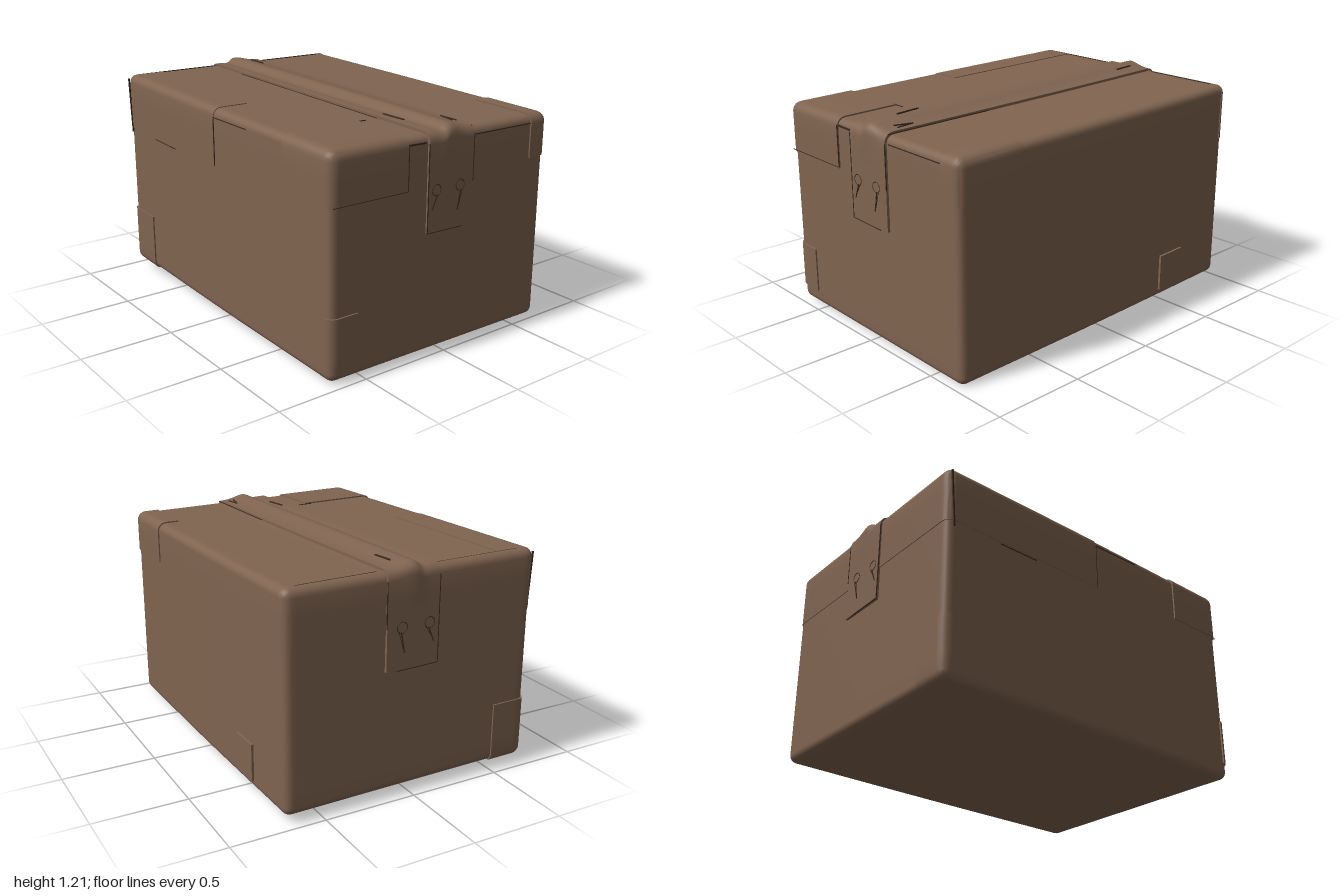
import * as THREE from 'three';
import { mergeVertices, toCreasedNormals } from 'three/addons/utils/BufferGeometryUtils.js';

const HALF = [0.967, 0.56, 0.698];
const SEGS = [16, 18, 76];
const ROUND = 0.042;
const INF = 9;

// Uneven settling of the carton: sheared top and bottom, bulging flap seam, soft walls
function warp(p) {
  const { x, y, z } = p;
  const top = THREE.MathUtils.smoothstep(y, 0.98, 1.1);
  const d = z + 0.015;
  const ridge = 0.024 * Math.exp(-((d / (d > 0 ? 0.035 : 0.08)) ** 2));
  const dip = 0.006 * Math.exp(-(((z - 0.04) / 0.025) ** 2));
  p.y += 0.03 - 0.0225 * x + 0.01 * z + top * (ridge - dip);
  p.x += 0.007 * Math.sign(x) * top * Math.exp(-((z / 0.06) ** 2));
  p.z += 0.004 * Math.cos(2.4 * x) * Math.sign(z) - 0.004;
  return p;
}

// Grid coordinate with three segments packed into each rounded edge
function spread(t, n, h) {
  const i = Math.round((t + 0.5) * n);
  if (i <= 3) return -h + ROUND * i / 3;
  if (i >= n - 3) return h - ROUND * (n - i) / 3;
  return (h - ROUND) * (2 * (i - 3) / (n - 6) - 1);
}

// Rounded carton grown outward by `grow`, limited to the box min..max, then warped
function shell(grow, min = [-INF, -INF, -INF], max = [INF, INF, INF]) {
  let geo = new THREE.BoxGeometry(1, 1, 1, ...SEGS);
  const pos = geo.attributes.position;
  const p = new THREE.Vector3(), inner = new THREE.Vector3();
  const lo = new THREE.Vector3(...min), hi = new THREE.Vector3(...max);
  const core = new THREE.Vector3(...HALF).subScalar(ROUND);
  const coreLow = core.clone().negate();
  for (let i = 0; i < pos.count; i++) {
    p.fromBufferAttribute(pos, i);
    p.set(spread(p.x, SEGS[0], HALF[0]), spread(p.y, SEGS[1], HALF[1]), spread(p.z, SEGS[2], HALF[2]));
    inner.copy(p).clamp(coreLow, core);
    p.sub(inner).setLength(ROUND + grow).add(inner);
    p.y += HALF[1];
    warp(p.clamp(lo, hi));
    pos.setXYZ(i, p.x, p.y, p.z);
  }
  geo.deleteAttribute('uv');
  geo.deleteAttribute('normal');
  geo = mergeVertices(geo, 1e-5);
  // drop triangles collapsed by the limits
  const id = geo.index.array, kept = [];
  for (let i = 0; i < id.length; i += 3) {
    const [a, b, c] = [id[i], id[i + 1], id[i + 2]];
    if (a !== b && b !== c && c !== a) kept.push(a, b, c);
  }
  geo.setIndex(kept);
  if (grow === 0) {
    geo.computeVertexNormals();
    return geo;
  }
  return toCreasedNormals(geo, 0.7);
}

export function createModel() {
  const group = new THREE.Group();
  group.name = 'cardboardBox';
  const cardboard = new THREE.MeshStandardMaterial({ color: 0x806450 });
  cardboard.name = 'cardboard brown';
  const dark = new THREE.MeshStandardMaterial({ color: 0x3a2c22 });
  dark.name = 'crease dark brown';

  function add(name, geo, mat = cardboard) {
    const mesh = new THREE.Mesh(geo, mat);
    mesh.name = name;
    group.add(mesh);
    return mesh;
  }

  // Carton and the long tape over the flap seam, folded down both ends
  add('carton', shell(0));
  add('seamTape', shell(0.014, [-INF, 0.635, -0.168], [INF, INF, 0.125]));

  // Tape pieces wrapped over edges and corners
  const patches = [
    ['upperFrontTape', 0.004, [-INF, 0.82, 0.5], [0, INF, INF]],
    ['frontLeftCornerTape', 0.008, [0.61, 0.86, 0.25], [INF, INF, INF]],
    ['backLeftCornerTape', 0.007, [0.58, 0.9, -INF], [INF, INF, -0.58]],
    ['rightEdgeTape', 0.004, [-INF, 0.82, -INF], [-0.93, INF, INF]],
    ['lowerFrontLeftPatch', 0.008, [0.93, 0.085, 0.54], [INF, 0.33, INF]],
    ['lowerFrontRightPatch', 0.008, [-INF, 0.0, 0.5], [-0.73, 0.32, INF]],
    ['lowerBackPatch', 0.012, [-0.63, 0.05, -INF], [-0.45, 0.25, -0.5]],
  ];
  for (const [name, grow, lo, hi] of patches) add(name, shell(grow, lo, hi));

  // Thin dark lines where tape and flaps lift
  const axis = new THREE.Vector3(1, 0, 0);
  function crease(name, from, to, width = 0.004) {
    const a = warp(new THREE.Vector3(...from)), b = warp(new THREE.Vector3(...to));
    const dir = b.clone().sub(a);
    const line = add(name, new THREE.BoxGeometry(dir.length(), width, width), dark);
    line.position.copy(a).lerp(b, 0.5);
    line.quaternion.setFromUnitVectors(axis, dir.normalize());
  }
  const top = 1.122, front = 0.702;
  crease('frontCrease', [0, 0.82, front], [0, 1.07, front]);
  crease('frontCrease', [0, 1.075, front], [0.3, 1.08, front]);
  crease('frontCrease', [-0.65, 0.808, front], [-0.42, 0.808, front]);
  crease('frontCrease', [-0.95, 1.1, front], [-0.93, 0.79, front], 0.008);
  crease('topCrease', [0.34, top + 0.002, -0.17], [0.96, top + 0.002, -0.17]);
  crease('topCrease', [-0.64, top, 0.128], [0.6, top, 0.128], 0.003);
  crease('topCrease', [0.6, top, 0.2], [0.6, top, 0.28]);
  crease('topCrease', [0.59, top + 0.014, 0.08], [0.73, top + 0.014, 0.07], 0.008);
  crease('topCrease', [0.78, top + 0.014, -0.13], [0.88, top + 0.014, -0.14], 0.006);
  crease('topCrease', [0.78, top + 0.014, -0.13], [0.88, top + 0.014, -0.11], 0.006);
  crease('topCrease', [-0.86, top + 0.016, -0.085], [-0.74, top + 0.016, -0.09], 0.007);
  crease('topCrease', [-0.93, top, 0.14], [-0.93, top, 0.62]);
  crease('topCrease', [-0.925, top, -0.62], [-0.925, top, -0.2]);

  // Tape ends: outline plus two punched rings with trailing tears
  for (const side of [-1, 1]) {
    const x = side * 0.981;
    crease('tapeEndCrease', [x, 0.635, 0.127], [x, 1.08, 0.127]);
    crease('tapeEndCrease', [x, 0.85, -0.17], [x, 1.08, -0.17]);
    crease('tapeEndCrease', [x, 0.636, 0.127], [x, 0.632, -0.11]);
    for (const [z, tailZ, tailY] of [[0.075, 0.1, 0.75], [-0.085, -0.07, 0.72]]) {
      const ring = add('tapeRing', new THREE.TorusGeometry(0.028, 0.0022, 6, 24), dark);
      ring.rotation.y = Math.PI / 2;
      ring.position.copy(warp(new THREE.Vector3(x, 0.847, z)));
      crease('tapeTear', [x, 0.825, z - 0.005], [x, tailY, tailZ], 0.006);
      crease('tapeTear', [x, 0.825, z - 0.017], [x, tailY + 0.02, tailZ - 0.008], 0.003);
    }
  }
  // Loose flap edge along the left end
  crease('flapCrease', [0.976, 0.868, 0.69], [0.976, 0.868, 0.25], 0.003);
  crease('flapCrease', [0.976, 0.868, 0.25], [0.976, 1.09, 0.25], 0.004);
  crease('flapCrease', [0.968, 1.09, 0.4], [0.968, 1.085, 0.14], 0.008);
  crease('flapCrease', [0.966, 1.08, -0.18], [0.966, 1.08, -0.66], 0.005);

  return group;
}
